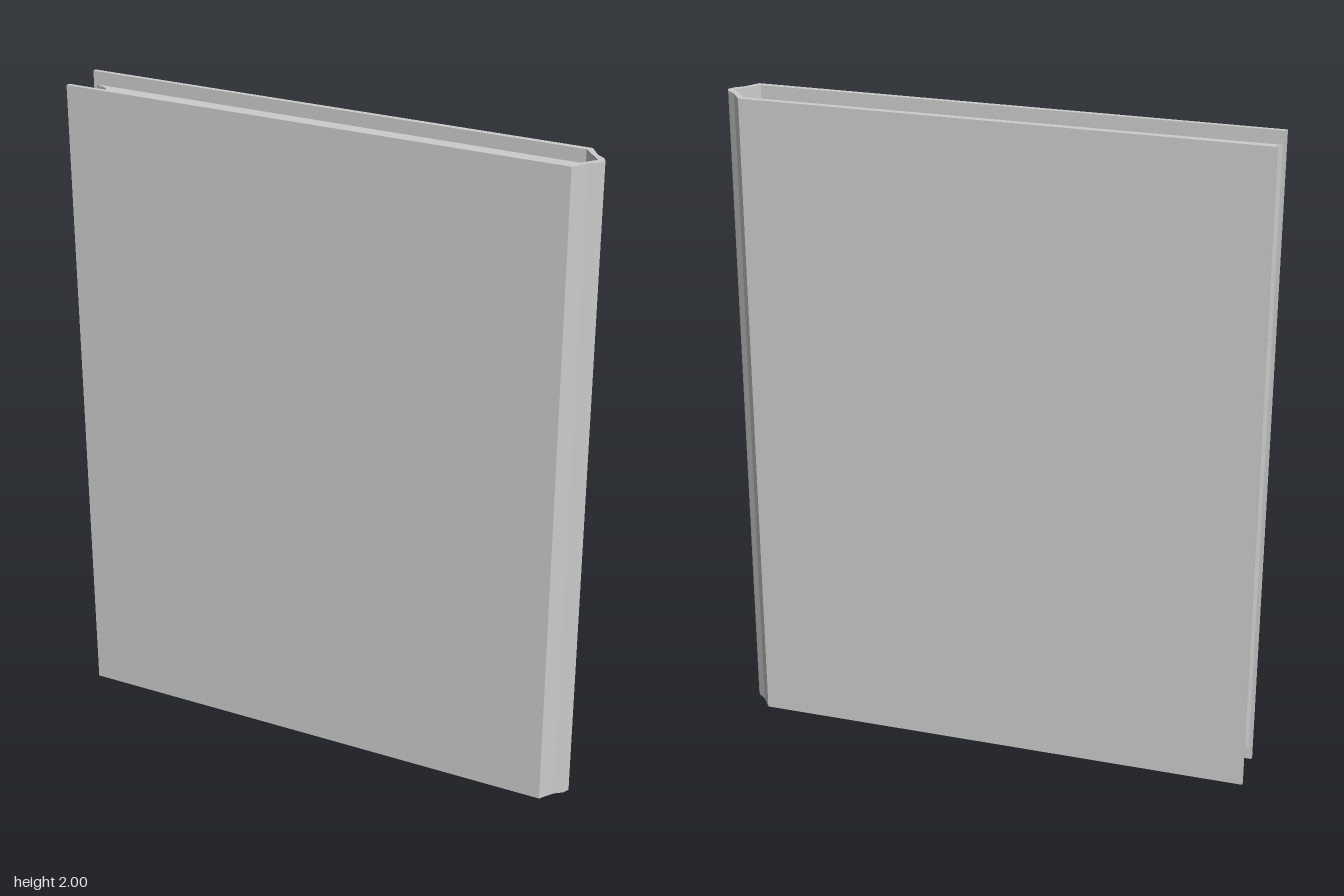
import * as THREE from 'three';

const material = new THREE.MeshStandardMaterial({ color: 0xcccccc, flatShading: true });

// Half outlines [x, z] with z >= 0, listed from the fore edge towards the spine
const coverOuter = [[-0.8, 0.08], [0.733, 0.08], [0.763, 0.037], [0.787, 0.019], [0.797, 0]];
const coverInner = [[-0.8, 0.067], [0.722, 0.063], [0.777, 0]];
const pageSide = [[-0.79, 0.067], [0.722, 0.063], [0.775, 0]];
const pageForeEdge = [[-0.79, 0.067], [-0.755, 0.052], [-0.73, 0.028], [-0.72, 0.01]];

// Follows a half outline to the spine and returns along its mirror image
function mirrored(half) {
  const back = half.filter(([, z]) => z > 0).reverse().map(([x, z]) => [x, -z]);
  return [...half, ...back];
}

// Upright prism from a plan outline
function prism(name, outline, bottom, top) {
  const shape = new THREE.Shape(outline.map(([x, z]) => new THREE.Vector2(x, -z)));
  const geometry = new THREE.ExtrudeGeometry(shape, { depth: top - bottom, bevelEnabled: false });
  geometry.rotateX(-Math.PI / 2).translate(0, bottom, 0);
  const mesh = new THREE.Mesh(geometry, material);
  mesh.name = name;
  return mesh;
}

export function createModel() {
  const book = new THREE.Group();
  book.name = 'book';

  // Two boards and the ridged spine, wrapped in one piece
  const cover = [...mirrored(coverOuter), ...mirrored(coverInner).reverse()];
  book.add(prism('cover', cover, 0, 2));

  // Page block, set in at top and bottom, with a hollow fore edge
  const pages = [...mirrored(pageSide), ...mirrored(pageForeEdge).reverse().slice(1, -1)];
  book.add(prism('pages', pages, 0.04, 1.96));

  return book;
}
